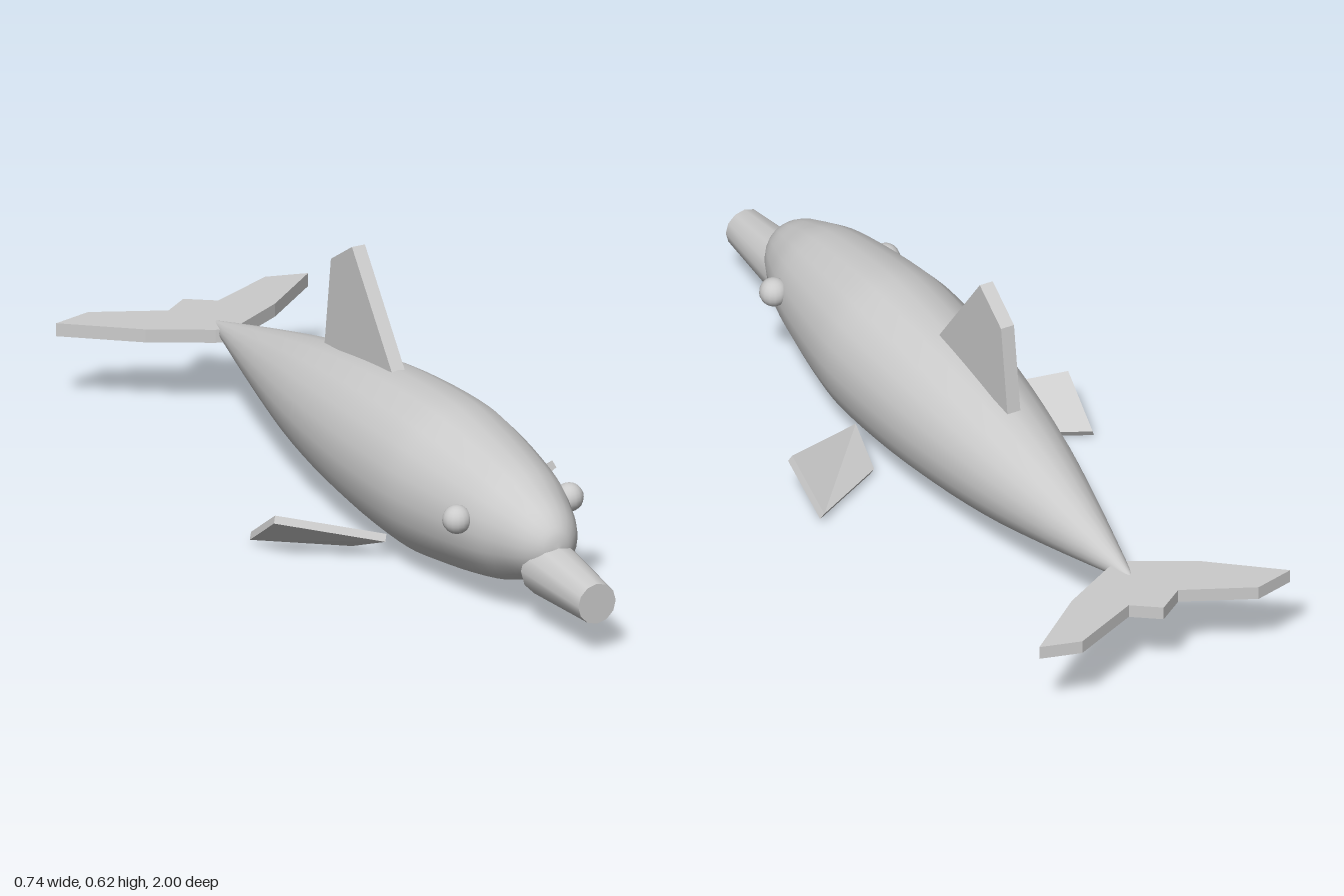
import * as THREE from 'three';

const material = new THREE.MeshStandardMaterial({ color: 0xcccccc });

function addMesh(group, name, geometry) {
  const mesh = new THREE.Mesh(geometry, material);
  mesh.name = name;
  group.add(mesh);
  return mesh;
}

// Flat plate cut from a 2D outline, centred on its thickness
function plate(outline, thickness) {
  const shape = new THREE.Shape(outline.map(([x, y]) => new THREE.Vector2(x, y)));
  return new THREE.ExtrudeGeometry(shape, { depth: thickness, bevelEnabled: false })
    .translate(0, 0, -thickness / 2);
}

// Thin slab: four underside corners, thickened by one offset; side mirrors it in x
function flipperGeometry(corners, offset, side) {
  const low = corners.map(([x, y, z]) => [x * side, y, z]);
  const high = corners.map(([x, y, z]) => [(x + offset[0]) * side, y + offset[1], z + offset[2]]);
  const quads = [[...high], [...low].reverse()];
  for (let i = 0; i < 4; i++) {
    const j = (i + 1) % 4;
    quads.push([low[i], low[j], high[j], high[i]]);
  }
  const positions = [];
  for (const quad of quads) {
    const [a, b, c, d] = side > 0 ? quad : quad.reverse();
    positions.push(...a, ...b, ...c, ...a, ...c, ...d);
  }
  const geometry = new THREE.BufferGeometry();
  geometry.setAttribute('position', new THREE.Float32BufferAttribute(positions, 3));
  geometry.computeVertexNormals();
  return geometry;
}

export function createModel() {
  const model = new THREE.Group();
  model.name = 'dolphin';

  // Spindle body, turned around the z axis: [radius, z] from tail to nose
  const profile = [
    [0, -0.83], [0.012, -0.8], [0.088, -0.5], [0.14, -0.26], [0.176, 0], [0.19, 0.25],
    [0.18, 0.4], [0.145, 0.6], [0.112, 0.7], [0.08, 0.77], [0.04, 0.81], [0, 0.82],
  ].map(([r, z]) => new THREE.Vector2(r, z));
  const points = new THREE.SplineCurve(profile).getPoints(44);
  points.forEach((p) => { p.x = Math.max(p.x, 0); });
  const body = addMesh(model, 'body', new THREE.LatheGeometry(points, 20)
    .rotateX(Math.PI / 2).scale(0.95, 1, 1));
  body.position.y = 0.2;

  // Beak: tapered tube whose sections stay upright while its axis drops
  const beak = new THREE.CylinderGeometry(0.049, 0.07, 0.235, 12).rotateX(Math.PI / 2);
  beak.applyMatrix4(new THREE.Matrix4().set(
    1, 0, 0, 0,
    0, 1, -0.055, 0.134,
    0, 0, 1, 0.8825,
    0, 0, 0, 1));
  addMesh(model, 'beak', beak);

  // Dorsal fin, drawn as [-z, y]
  addMesh(model, 'dorsalFin', plate(
    [[-0.065, 0.365], [0.265, 0.343], [0.235, 0.56], [0.135, 0.623]], 0.034)
    .rotateY(Math.PI / 2));

  // Tail fluke, drawn as [x, -z]; the left half is a mirror of the right
  const half = [[0.03, 0.76], [0.17, 0.84], [0.33, 0.973], [0.232, 1], [0.065, 0.92]];
  const mirrored = half.map(([x, y]) => [-x, y]).reverse();
  const fluke = addMesh(model, 'tailFluke', plate(
    [[0, 0.75], ...half, [0, 0.968], ...mirrored], 0.032).rotateX(-Math.PI / 2));
  fluke.position.y = 0.193;

  // Paired flippers and eyes
  const corners = [[0.14, 0.05, 0.247], [0.37, 0.1, 0.135], [0.36, 0.013, 0.002], [0.16, 0.002, 0.125]];
  for (const [side, label] of [[1, 'left'], [-1, 'right']]) {
    addMesh(model, label + 'Flipper', flipperGeometry(corners, [-0.007, 0.016, -0.007], side));
    const eye = addMesh(model, label + 'Eye', new THREE.SphereGeometry(0.034, 16, 12));
    eye.position.set(0.147 * side, 0.227, 0.6);
  }

  return model;
}
